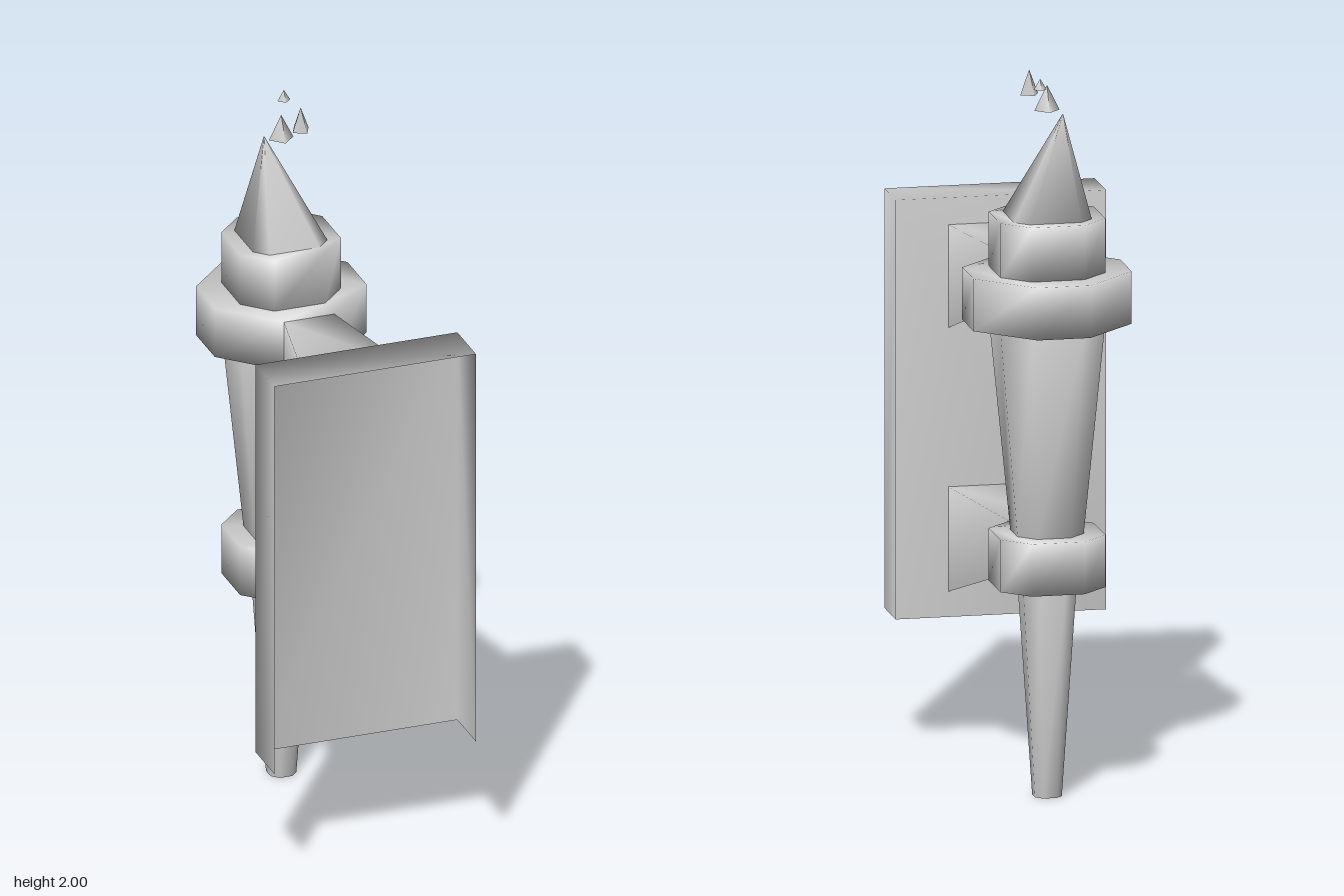
import * as THREE from 'three';

const AXIS_Z = -0.255; // centre line of the torch

const material = new THREE.MeshStandardMaterial({ color: 0xcccccc });
const openMaterial = new THREE.MeshStandardMaterial({ color: 0xcccccc, side: THREE.DoubleSide });

// Indexed surface with normals shared across its edges
function surface(name, points, quads, mat, triangles = []) {
  const index = [...triangles];
  for (const [a, b, c, d] of quads) index.push(a, b, c, a, c, d);
  const geometry = new THREE.BufferGeometry();
  geometry.setAttribute('position', new THREE.Float32BufferAttribute(points.flat(), 3));
  geometry.setIndex(index);
  geometry.computeVertexNormals();
  const mesh = new THREE.Mesh(geometry, mat);
  mesh.name = name;
  return mesh;
}

// Square with cut corners, counter-clockwise seen from above
function octagon(half, flat, y, cx = 0, cz = AXIS_Z) {
  return [[half, flat], [half, -flat], [flat, -half], [-flat, -half],
    [-half, -flat], [-half, flat], [-flat, half], [flat, half]]
    .map(([x, z]) => [cx + x, y, cz + z]);
}

// Closed skin over a stack of eight-sided sections, bottom to top
function loft(name, sections) {
  const n = 8;
  const quads = [];
  const caps = [];
  for (let s = 0; s < sections.length - 1; s++) {
    for (let i = 0; i < n; i++) {
      const a = s * n + i, b = s * n + (i + 1) % n;
      quads.push([a, b, b + n, a + n]);
    }
  }
  const top = (sections.length - 1) * n;
  for (let i = 1; i < n - 1; i++) {
    caps.push(0, i + 1, i);
    caps.push(top, top + i, top + i + 1);
  }
  return surface(name, sections.flat(), quads, material, caps);
}

// Flared arm: top and two sides, open underneath and at both ends
function arm(name, top, nearBottom, farBottom, nearZ) {
  const section = (w, low, z) => [[-w, low, z], [-w, top, z], [w, top, z], [w, low, z]];
  const points = [...section(0.073, nearBottom, nearZ), ...section(0.145, farBottom, 0.33)];
  return surface(name, points, [0, 1, 2].map(i => [i, i + 4, i + 5, i + 1]), openMaterial);
}

export function createModel() {
  const model = new THREE.Group();
  model.name = 'wallTorch';

  // Wall plate: shallow tray, open at its front and underside
  const corners = [];
  for (const z of [0.33, 0.475]) {
    corners.push([-0.29, 0.37, z], [-0.29, 1.53, z], [0.29, 1.53, z], [0.29, 0.37, z]);
  }
  model.add(surface('wallPlate', corners,
    [[0, 1, 2, 3], [0, 4, 5, 1], [1, 5, 6, 2], [2, 6, 7, 3]], openMaterial));

  // Arms from plate to rings
  model.add(arm('upperArm', 1.455, 1.31, 1.17, -0.038));
  model.add(arm('lowerArm', 0.73, 0.585, 0.44, -0.11));

  // Rings holding the shaft
  model.add(loft('upperRing', [octagon(0.218, 0.073, 1.31), octagon(0.218, 0.073, 1.455)]));
  model.add(loft('lowerRing', [octagon(0.145, 0.073, 0.585), octagon(0.145, 0.073, 0.73)]));

  // Tapered shaft in two lengths
  model.add(loft('lowerShaft', [octagon(0.037, 0.018, 0), octagon(0.074, 0.037, 0.59)]));
  model.add(loft('upperShaft', [octagon(0.091, 0.046, 0.725), octagon(0.145, 0.073, 1.315)]));

  // Cup and leaning flame
  model.add(loft('cup', [octagon(0.145, 0.073, 1.45), octagon(0.145, 0.073, 1.605)]));
  model.add(loft('flame', [octagon(0.109, 0.073, 1.6), octagon(0.001, 0.0005, 1.89, -0.036, -0.29)]));

  // Embers: four-sided sparks [x, base y, z, radius, height, turn]
  const embers = [
    [0, 1.895, -0.255, 0.035, 0.07, 0],
    [0.04, 1.932, -0.212, 0.028, 0.068, 0.35],
    [0.035, 1.97, -0.329, 0.018, 0.03, 0],
  ];
  for (const [x, y, z, radius, height, turn] of embers) {
    const ember = new THREE.Mesh(new THREE.ConeGeometry(radius, height, 4), material);
    ember.position.set(x, y + height / 2, z);
    ember.rotation.y = turn;
    ember.name = 'ember';
    model.add(ember);
  }
  return model;
}
